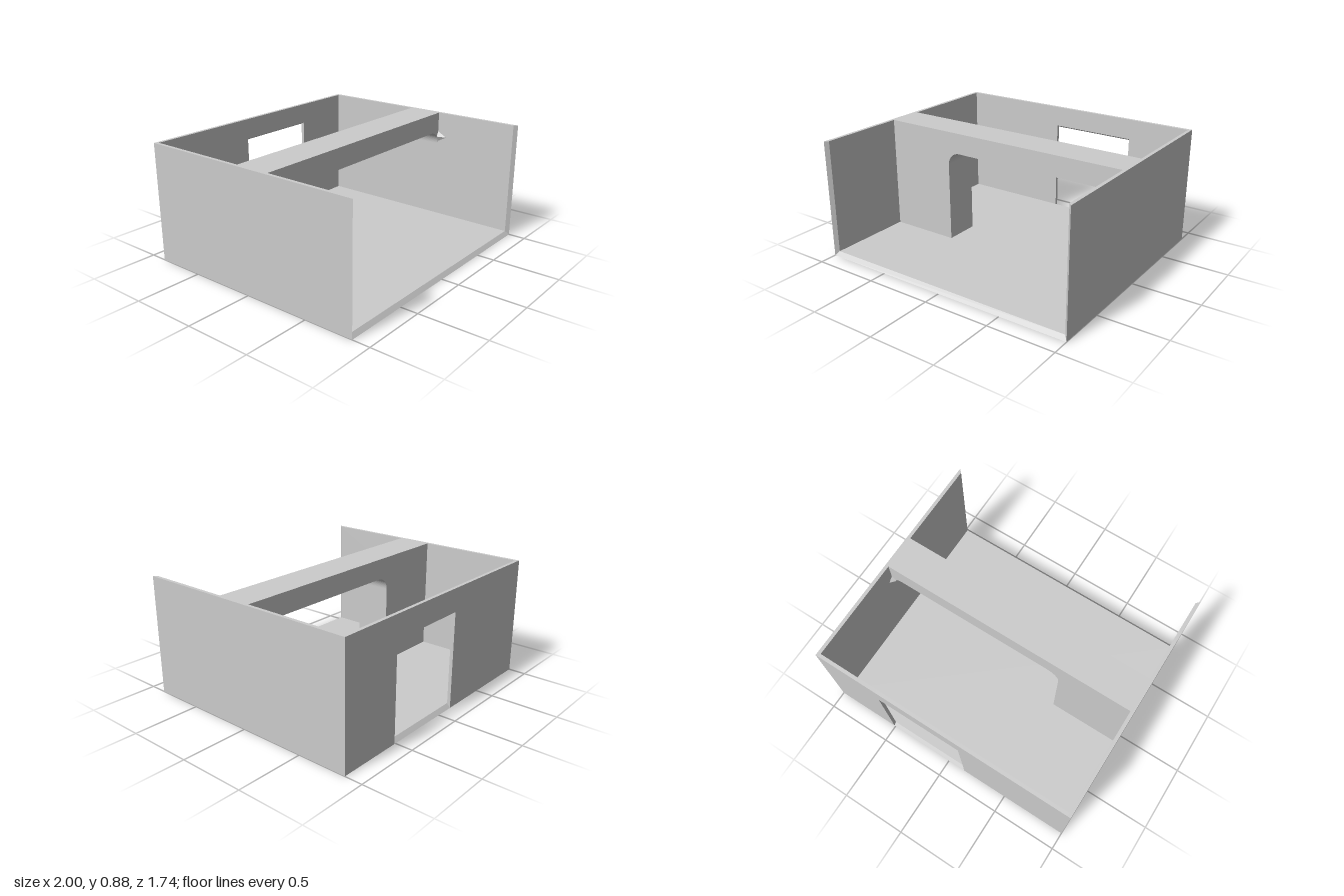
import * as THREE from 'three';
import { ConvexGeometry } from 'three/addons/geometries/ConvexGeometry.js';

const W = 1, D = 0.87, H = 0.885; // half width, half depth, height
const T = 0.025, FLOOR = 0.03;    // wall and floor thickness
const IN = W - T;                 // inner face of the side walls

export function createModel() {
  const group = new THREE.Group();
  const material = new THREE.MeshStandardMaterial({ color: 0xcccccc });
  const add = (name, geometry) => {
    const mesh = new THREE.Mesh(geometry, material);
    mesh.name = name;
    group.add(mesh);
    return mesh;
  };
  const polygon = (points) => new THREE.Shape(points.map(([x, y]) => new THREE.Vector2(x, y)));
  const extrude = (shape, depth) =>
    new THREE.ExtrudeGeometry(shape, { depth, bevelEnabled: false, curveSegments: 12 });
  // Profile of [z, y] points swept along x from x0 to x1
  const sweepX = (points, x0, x1) =>
    extrude(polygon(points.map(([z, y]) => [-z, y])), x1 - x0).rotateY(Math.PI / 2).translate(x0, 0, 0);
  const box = (x0, x1, y0, y1, z0, z1) =>
    new THREE.BoxGeometry(x1 - x0, y1 - y0, z1 - z0).translate((x0 + x1) / 2, (y0 + y1) / 2, (z0 + z1) / 2);

  // Floor with sloped front edge and door sill
  add('floor', sweepX([[D, 0], [D - T, FLOOR], [T - D, FLOOR], [-D, 0]], -W, W));

  // Side walls, mitred at the open front
  for (const s of [1, -1]) {
    const plan = polygon([[s * W, D], [s * IN, D], [s * IN, T - D], [s * W, -D]]);
    add(s > 0 ? 'leftWall' : 'rightWall', extrude(plan, H).rotateX(-Math.PI / 2));
  }

  // Back wall around the doorway
  const door = { left: -0.14, right: 0.51, outerTop: 0.715, innerTop: 0.73 };
  add('backWallRight', box(-IN, door.left, 0, H, -D, T - D));
  add('backWallLeft', box(door.right, IN, 0, H, -D, T - D));
  add('doorLintel', sweepX(
    [[-D, door.outerTop], [T - D, door.innerTop], [T - D, H], [-D, H]], door.left, door.right));

  // Thick partition with a wide round-cornered opening
  const z0 = -0.07, z1 = 0.195, a = -0.44, top = 0.73, r = 0.1;
  const shape = new THREE.Shape();
  shape.moveTo(-IN, FLOOR);
  shape.lineTo(a, FLOOR);
  shape.lineTo(a, top - r);
  shape.absarc(a + r, top - r, r, Math.PI, Math.PI / 2, true);
  shape.lineTo(IN - r, top);
  shape.absarc(IN - r, top - r, r, Math.PI / 2, 0, true);
  shape.lineTo(IN, H);
  shape.lineTo(-IN, H);
  add('partition', extrude(shape, z1 - z0).translate(0, 0, z0));

  // Small fillets where the opening meets the left wall
  for (const [z, tip, x] of [[z1, 0.27, 0.955], [z0, -0.11, 0.94]]) {
    add('openingFillet', new ConvexGeometry([
      [IN, 0.73, z], [x, 0.69, z], [IN, 0.65, z], [IN, 0.69, tip],
    ].map((p) => new THREE.Vector3(...p))));
  }
  return group;
}
